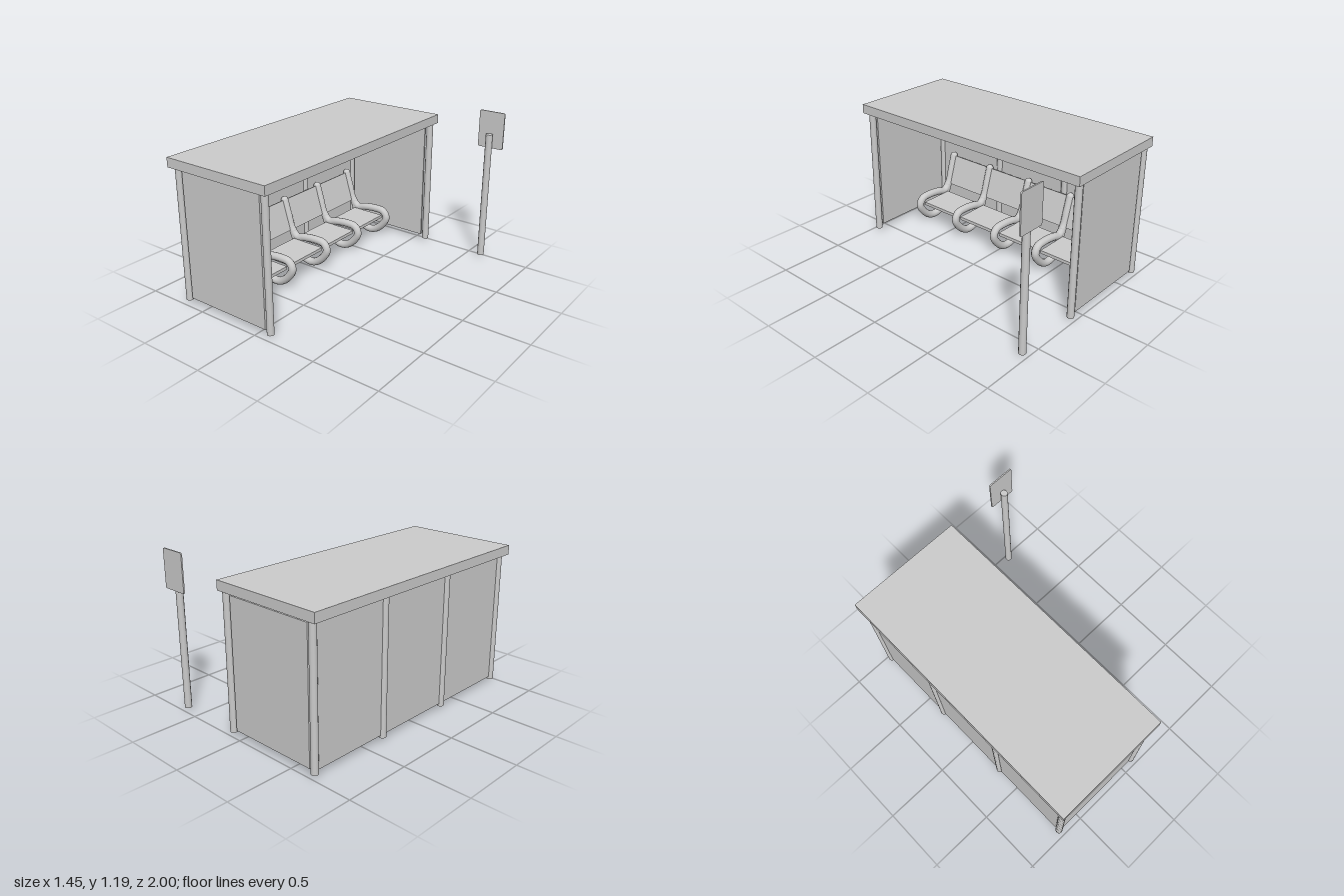
import * as THREE from 'three';

const material = new THREE.MeshStandardMaterial({ color: 0xcccccc });

function add(parent, name, geometry, x = 0, y = 0, z = 0) {
  const mesh = new THREE.Mesh(geometry, material);
  mesh.name = name;
  mesh.position.set(x, y, z);
  parent.add(mesh);
  return mesh;
}

const v = (x, y) => new THREE.Vector3(x, y, 0);

export function createModel() {
  const model = new THREE.Group();
  model.name = 'busShelter';

  // Roof slab
  add(model, 'roof', new THREE.BoxGeometry(0.88, 0.07, 2), -0.29, 1.055, 0);

  // Posts: four along the back, two at the front
  const post = new THREE.CylinderGeometry(0.026, 0.026, 1, 12);
  const backZ = [0.95, 0.308, -0.333, -0.965];
  for (const z of backZ) add(model, 'backPost', post, -0.677, 0.522, z);
  for (const z of [0.95, -0.965]) add(model, 'frontPost', post, 0.1, 0.522, z);

  // Wall panels between the posts
  for (let i = 0; i < 3; i++) {
    const length = backZ[i] - backZ[i + 1] - 0.056;
    add(model, 'backPanel', new THREE.BoxGeometry(0.016, 0.957, length),
      -0.677, 0.522, (backZ[i] + backZ[i + 1]) / 2);
  }
  for (const z of [0.95, -0.965]) {
    add(model, 'sidePanel', new THREE.BoxGeometry(0.7, 0.957, 0.016), -0.29, 0.522, z);
  }

  // Bench
  const bench = new THREE.Group();
  bench.name = 'bench';
  model.add(bench);

  // Bent tube frames: back upright running into an armrest loop and round under the seat
  const path = new THREE.CatmullRomCurve3([
    v(-0.625, 0.485), v(-0.59, 0.37), v(-0.555, 0.26), v(-0.5, 0.205), v(-0.42, 0.22),
    v(-0.32, 0.23), v(-0.235, 0.22), v(-0.207, 0.17), v(-0.24, 0.105), v(-0.31, 0.045),
    v(-0.37, 0.03), v(-0.43, 0.045), v(-0.48, 0.1), v(-0.515, 0.17), v(-0.545, 0.25),
  ]);
  const tube = new THREE.TubeGeometry(path, 72, 0.03, 12);
  const tip = new THREE.SphereGeometry(0.03, 12, 8);
  const pitch = 0.4;
  for (let i = 0; i < 5; i++) {
    const frame = new THREE.Group();
    frame.name = 'seatFrame';
    frame.position.z = 0.775 - i * pitch;
    bench.add(frame);
    add(frame, 'frameTube', tube);
    add(frame, 'frameTip', tip, -0.625, 0.485, 0);
  }

  // Seat and backrest boards between the frames
  const seat = new THREE.BoxGeometry(0.28, 0.025, 0.345);
  const back = new THREE.BoxGeometry(0.014, 0.245, 0.345);
  for (let i = 0; i < 4; i++) {
    const z = 0.575 - i * pitch;
    add(bench, 'seat', seat, -0.375, 0.183, z);
    add(bench, 'backrest', back, -0.59, 0.37, z).rotation.z = 0.29;
  }

  // Stop sign: pole and rounded plate
  const sign = new THREE.Group();
  sign.name = 'stopSign';
  model.add(sign);
  add(sign, 'signPole', post, 0.622, 0.522, -0.963);
  const [w, h, r] = [0.1025, 0.142, 0.012];
  const plate = new THREE.Shape();
  plate.absarc(w - r, h - r, r, 0, Math.PI / 2);
  plate.absarc(r - w, h - r, r, Math.PI / 2, Math.PI);
  plate.absarc(r - w, r - h, r, Math.PI, Math.PI * 1.5);
  plate.absarc(w - r, r - h, r, Math.PI * 1.5, Math.PI * 2);
  add(sign, 'signPlate',
    new THREE.ExtrudeGeometry(plate, { depth: 0.01, bevelEnabled: false, curveSegments: 4 }),
    0.622, 1.05, -0.999);

  return model;
}
